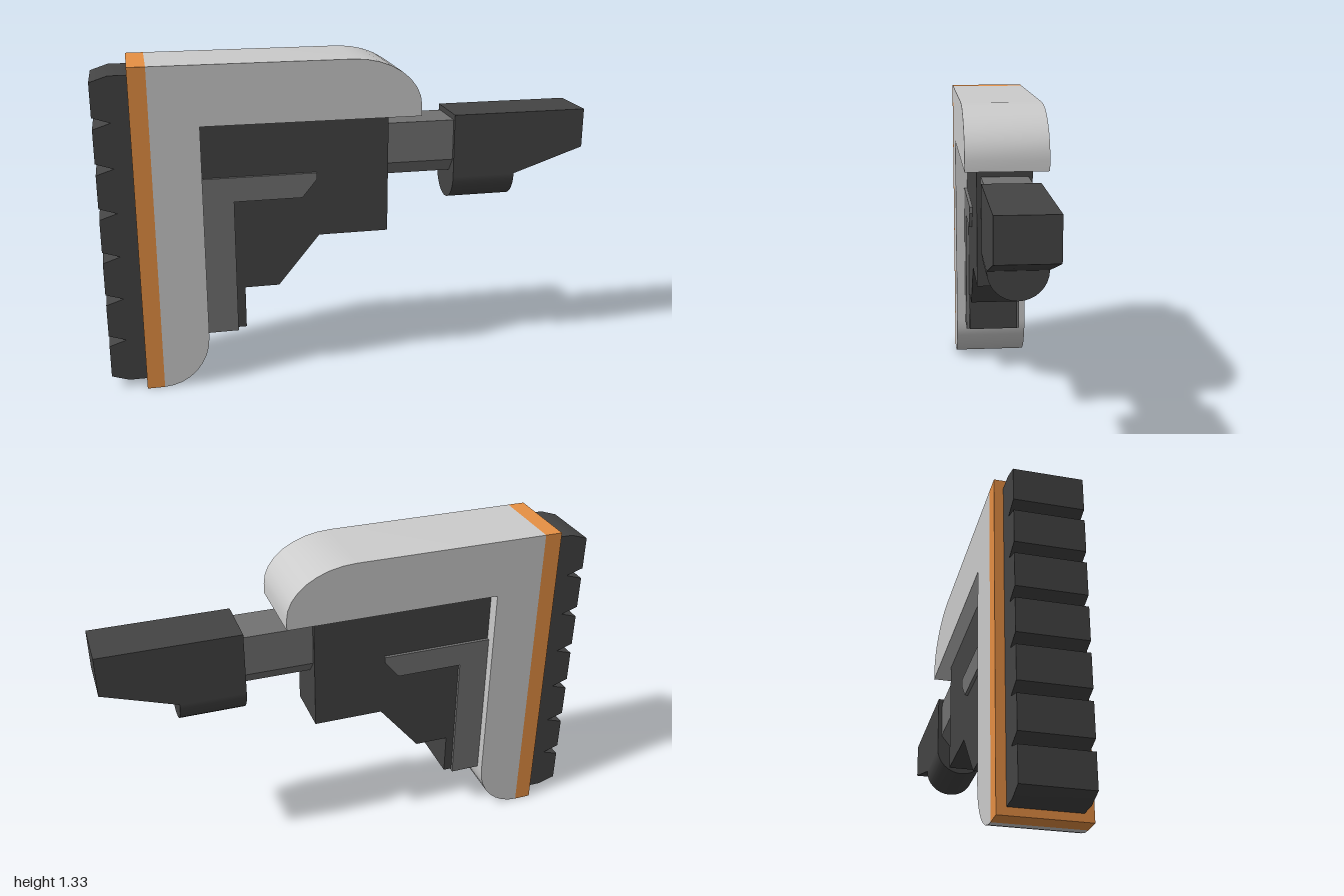
import * as THREE from 'three';
import { toCreasedNormals } from 'three/addons/utils/BufferGeometryUtils.js';

const mat = (color) => new THREE.MeshStandardMaterial({ color });

// Side profile extruded symmetrically about z = 0.
function slab(name, shape, halfDepth, material) {
  const raw = new THREE.ExtrudeGeometry(shape, { depth: halfDepth * 2, bevelEnabled: false, curveSegments: 4 });
  raw.translate(0, 0, -halfDepth);
  const mesh = new THREE.Mesh(toCreasedNormals(raw, 0.6), material);
  mesh.name = name;
  return mesh;
}

const poly = (points) => new THREE.Shape(points.map(([x, y]) => new THREE.Vector2(x, y)));

export function createModel() {
  const group = new THREE.Group();
  group.name = 'shoulderStock';
  const grey = mat(0xcccccc);
  const dark = mat(0x444444);
  const mid = mat(0x727272);
  const orange = mat(0xe79044);

  // L-shaped shell with rounded toe and nose
  const shell = new THREE.Shape();
  shell.moveTo(-0.79, 0);
  shell.absellipse(-0.79, 0.205, 0.19, 0.205, -Math.PI / 2, 0, false);
  shell.lineTo(-0.6, 1.087);
  shell.lineTo(0.28, 1.087);
  shell.lineTo(0.28, 1.13);
  shell.absellipse(0, 1.13, 0.28, 0.195, 0, Math.PI / 2, false);
  shell.lineTo(-0.79, 1.325);
  group.add(slab('shell', shell, 0.165, grey));

  // Spacer plate behind the shell
  group.add(slab('spacerPlate', poly([[-0.86, 0], [-0.79, 0], [-0.79, 1.325], [-0.86, 1.325]]), 0.165, orange));

  // Ribbed butt pad: seven teeth with V grooves between them
  const pitch = 0.18, teeth = 7, base = 0.03;
  const pad = [[-0.86, base], [-0.86, base + teeth * pitch]];
  for (let i = teeth; i > 0; i--) {
    const top = base + i * pitch;
    pad.push([-0.93, top], [-1, top - 0.023], [-1, top - pitch + 0.023]);
  }
  pad.push([-0.93, base]);
  group.add(slab('buttPad', poly(pad), 0.13, dark));

  // Stepped inner body
  group.add(slab('innerBody', poly([
    [-0.61, 0.215], [-0.44, 0.215], [-0.44, 0.39], [-0.3, 0.39],
    [-0.13, 0.597], [0.157, 0.597], [0.157, 1.087], [-0.61, 1.087],
  ]), 0.112, dark));

  // Raised L-shaped rib, standing proud on both sides
  group.add(slab('sideRib', poly([
    [-0.61, 0.206], [-0.475, 0.206], [-0.475, 0.765], [-0.2, 0.765],
    [-0.14, 0.838], [-0.14, 0.865], [-0.61, 0.865],
  ]), 0.125, mid));

  // Connecting rod: section with chamfered lower edges, run along x
  const rod = slab('connectingRod', poly([
    [-0.095, 1.047], [-0.095, 0.88], [-0.05, 0.823], [0.05, 0.823], [0.095, 0.88], [0.095, 1.047],
  ]), 0.15, mid);
  rod.rotation.y = Math.PI / 2;
  rod.position.x = 0.3;
  group.add(rod);

  // Front mount: tapered block over a round lug
  const mount = new THREE.Group();
  mount.name = 'frontMount';
  mount.add(slab('mountBlock', poly([
    [0.437, 0.808], [0.703, 0.808], [1, 0.908], [1, 1.07], [0.437, 1.07],
  ]), 0.112, dark));
  const lug = new THREE.Mesh(new THREE.CylinderGeometry(0.112, 0.112, 0.266, 32), dark);
  lug.name = 'mountLug';
  lug.rotation.z = Math.PI / 2;
  lug.position.set(0.57, 0.808, 0);
  mount.add(lug);
  group.add(mount);

  return group;
}
